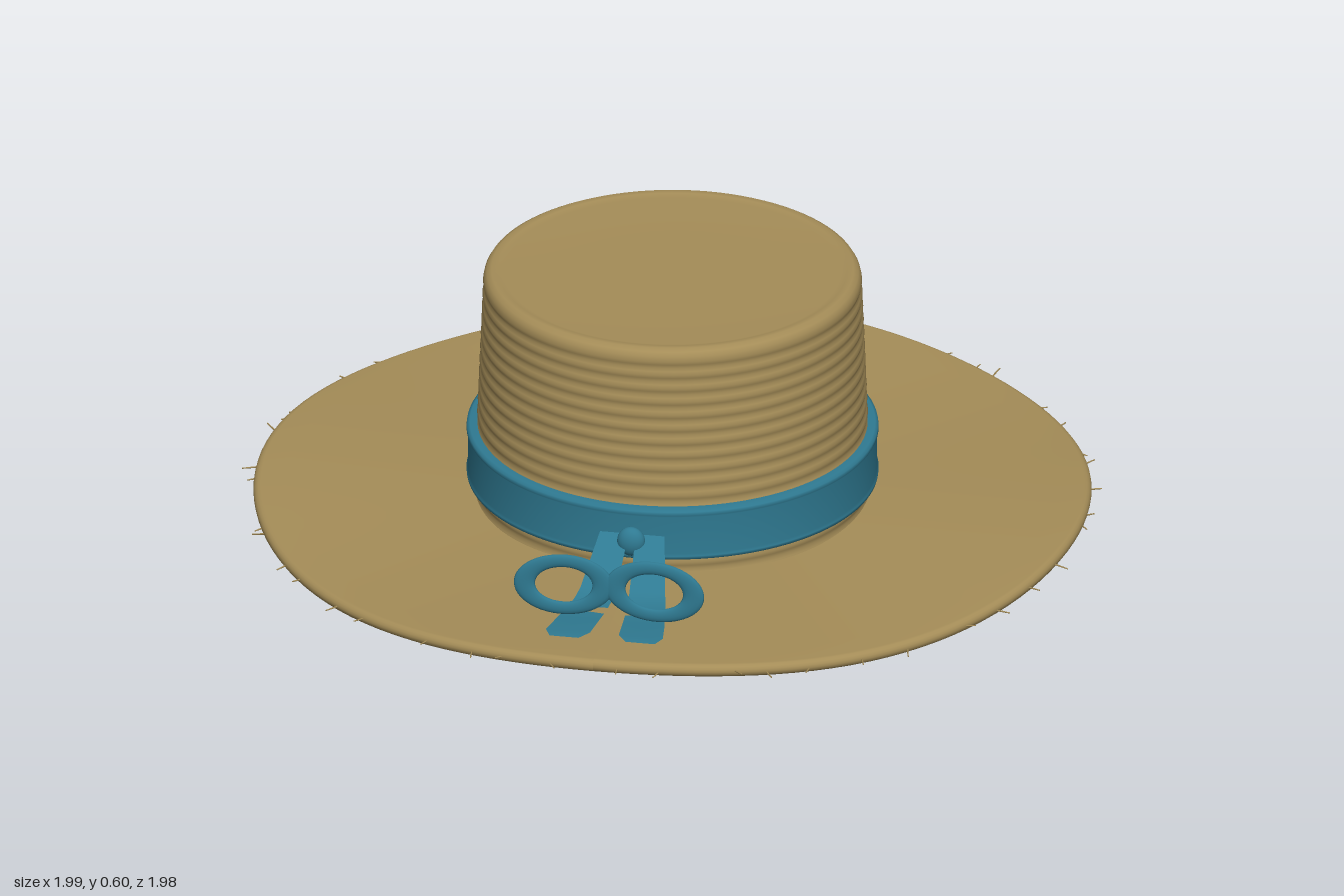
import * as THREE from 'three';

const CX = -0.012, CZ = 0.012, R = 0.97;

export function createModel() {
  const hat = new THREE.Group();
  hat.name = 'sunHat';
  const straw = new THREE.MeshStandardMaterial({ name: 'straw', color: 0xa58d58 });
  const ribbon = new THREE.MeshStandardMaterial({ name: 'ribbonBlue', color: 0x2f7a92, side: THREE.DoubleSide });

  const add = (name, geometry, material, x = CX, y = 0, z = CZ) => {
    const mesh = new THREE.Mesh(geometry, material);
    mesh.name = name;
    mesh.position.set(x, y, z);
    hat.add(mesh);
    return mesh;
  };
  const lathe = (points, segments = 96) =>
    new THREE.LatheGeometry(points.map(([r, y]) => new THREE.Vector2(r, y)), segments);

  // Gentle four-lobed wave that grows towards the edge of the brim
  const wave = (x, z) => {
    const r = Math.hypot(x, z) / R;
    return 0.012 * r * r * Math.cos(4 * Math.atan2(z, x));
  };

  // Brim: closed disc with a rounded edge, bent by the wave
  const profile = [];
  for (let i = 0; i <= 16; i++) profile.push([(R - 0.015) * i / 16, 0.026]);
  for (let i = 1; i < 8; i++) {
    const a = -Math.PI / 2 + Math.PI * i / 8;
    profile.push([R - 0.015 + 0.017 * Math.cos(a), 0.042 + 0.016 * Math.sin(a)]);
  }
  for (let i = 16; i >= 0; i--) profile.push([(R - 0.015) * i / 16, 0.058]);
  const brim = lathe(profile, 128);
  const p = brim.attributes.position;
  for (let i = 0; i < p.count; i++) p.setY(i, p.getY(i) + wave(p.getX(i), p.getZ(i)));
  brim.computeVertexNormals();
  add('brim', brim, straw);

  // Crown: tapering woven wall, rounded shoulder and slightly sunken top
  const wall = [];
  for (let i = 0; i <= 64; i++) {
    const t = i / 64;
    wall.push([0.459 - 0.022 * t + 0.0025 * Math.cos(t * Math.PI * 32), 0.05 + 0.54 * t]);
  }
  wall.push([0.437, 0.602], [0.431, 0.612], [0.42, 0.618], [0.405, 0.617], [0.39, 0.612], [0.2, 0.611], [0, 0.61]);
  add('crown', lathe(wall), straw);

  // Ribbon band with a thin raised hem at both edges
  add('band', lathe([
    [0.452, 0.097], [0.47, 0.097], [0.477, 0.1], [0.478, 0.108], [0.474, 0.113],
    [0.474, 0.207], [0.478, 0.212], [0.477, 0.221], [0.47, 0.225], [0.452, 0.225],
  ]), ribbon);

  // Knot at the front of the band
  const knot = add('knot', new THREE.SphereGeometry(1, 24, 16), ribbon, CX, 0.157, 0.518);
  knot.scale.set(0.033, 0.036, 0.022);

  for (const side of [-1, 1]) {
    const label = side > 0 ? 'left' : 'right';

    // Upright flattened bow loop
    const loop = add(label + 'BowLoop', new THREE.TorusGeometry(0.093, 0.025, 14, 48), ribbon,
      CX + side * 0.107, 0.165, 0.788);
    loop.scale.set(1, 0.65, 0.28);
    loop.rotation.z = -side * 0.06;

    // Ribbon tail: falls from the knot, then lies along the brim
    const rows = [ // z, y, centre offset, half width
      [0.505, 0.17, 0.042, 0.034], [0.56, 0.124, 0.05, 0.038], [0.62, 0.078, 0.058, 0.042],
      [0.65, 0.066, 0.063, 0.044], [0.7, 0.063, 0.069, 0.046], [0.76, 0.067, 0.077, 0.049],
      [0.845, 0.074, 0.086, 0.052], [0.873, 0.072, 0.09, 0.034],
    ];
    const pos = [], index = [];
    rows.forEach(([z, y, c, w], i) => {
      pos.push(CX + side * c - w, y, z, CX + side * c + w, y, z);
      const a = 2 * i;
      if (i) index.push(a - 2, a, a - 1, a - 1, a, a + 1);
    });
    const tail = new THREE.BufferGeometry();
    tail.setAttribute('position', new THREE.Float32BufferAttribute(pos, 3));
    tail.setIndex(index);
    tail.computeVertexNormals();
    add(label + 'RibbonTail', tail, ribbon);
    hat.children[hat.children.length - 1].position.set(0, 0, 0);
  }

  // Loose straw ends scattered around the brim edge
  let seed = 7;
  const rnd = () => (seed = (seed * 16807) % 2147483647) / 2147483647;
  const fibre = new THREE.CylinderGeometry(0.0015, 0.0025, 1, 5);
  const up = new THREE.Vector3(0, 1, 0);
  for (let i = 0; i < 48; i++) {
    const a = (i + rnd()) / 48 * Math.PI * 2;
    const x = Math.cos(a) * (R - 0.012), z = Math.sin(a) * (R - 0.012);
    const b = a + (rnd() - 0.5) * 1.8;
    const dir = new THREE.Vector3(Math.cos(b), (rnd() - 0.6) * 0.5, Math.sin(b)).normalize();
    const length = 0.03 + 0.022 * rnd();
    const mesh = add('looseStraw', fibre, straw, CX + x + dir.x * length / 2,
      0.042 + wave(x, z) + dir.y * length / 2, CZ + z + dir.z * length / 2);
    mesh.scale.y = length;
    mesh.quaternion.setFromUnitVectors(up, dir);
  }
  return hat;
}
